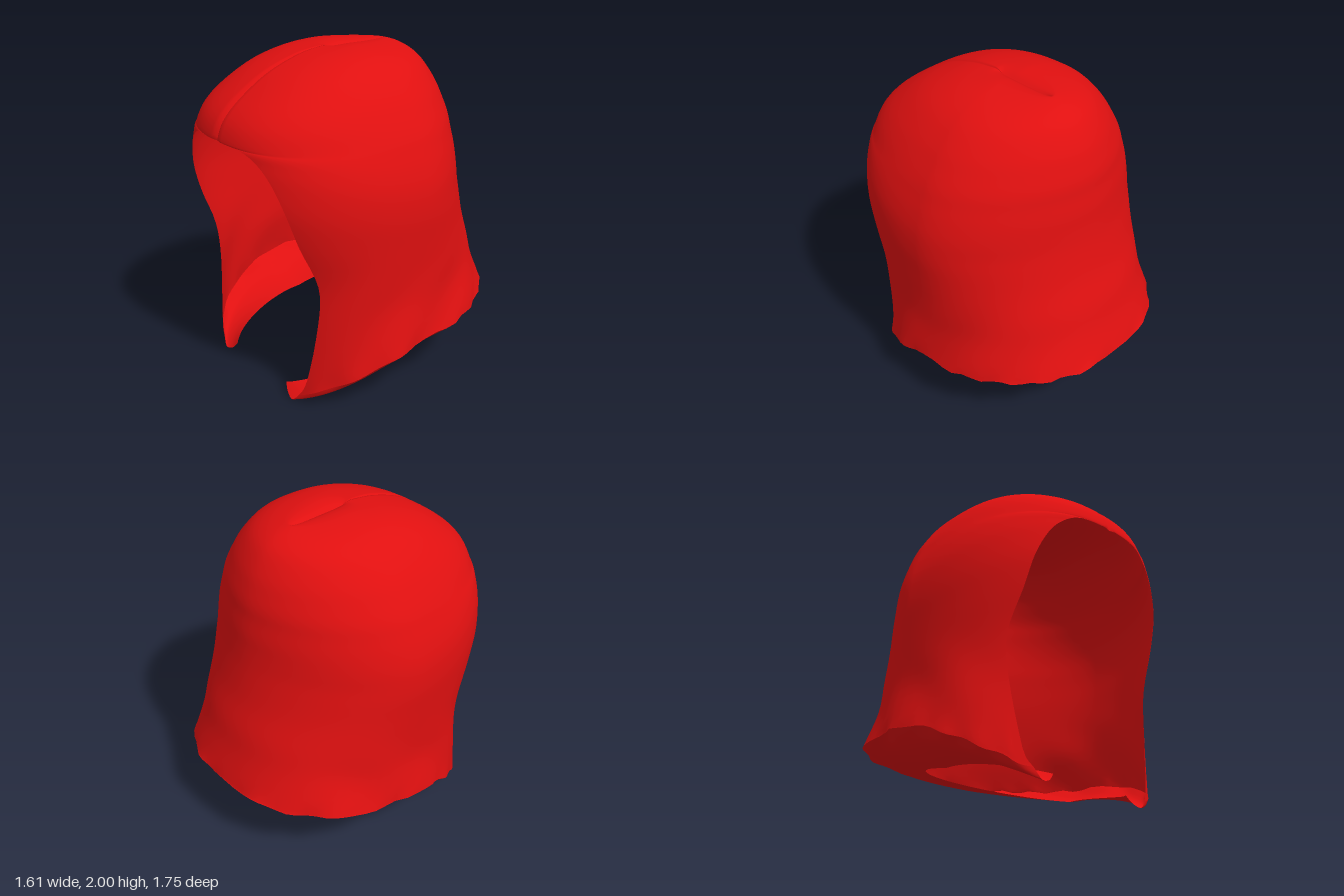
import * as THREE from 'three';

// Cross-sections from crown to hem:
// front y, front half-gap, front z | side y, half-width | back y, back z
const crownAndSides = [
  [1.975, 0, 0.10, 1.970, 0, 1.968, -0.27],
  [1.988, 0, 0.13, 1.994, 0.05, 1.982, -0.285],
  [1.990, 0, 0.18, 2.0, 0.15, 1.982, -0.31],
  [1.965, 0, 0.34, 1.965, 0.31, 1.95, -0.40],
  [1.89, 0, 0.55, 1.89, 0.45, 1.89, -0.48],
  [1.77, 0, 0.74, 1.78, 0.56, 1.78, -0.55],
  [1.67, 0, 0.84, 1.68, 0.63, 1.68, -0.588],
  [1.57, 0, 0.88, 1.59, 0.682, 1.60, -0.61],
  [1.555, 0.22, 0.86, 1.51, 0.715, 1.52, -0.62],
  [1.50, 0.34, 0.83, 1.41, 0.75, 1.42, -0.635],
  [1.40, 0.43, 0.80, 1.29, 0.777, 1.31, -0.645],
  [1.24, 0.50, 0.76, 1.14, 0.785, 1.17, -0.665],
  [1.05, 0.53, 0.70, 0.97, 0.775, 0.99, -0.705],
  [0.80, 0.56, 0.60, 0.78, 0.765, 0.82, -0.76],
  [0.55, 0.54, 0.59, 0.60, 0.765, 0.66, -0.80],
  [0.17, 0.48, 0.63, 0.40, 0.795, 0.485, -0.858],
  [0.06, 0.43, 0.655, 0.37, 0.80, 0.46, -0.868],
];

// Turned-in hem, from the outer fold to the neck opening
const hemRows = [
  crownAndSides[crownAndSides.length - 1],
  [0.005, 0.38, 0.67, 0.29, 0.71, 0.405, -0.76],
  [0.02, 0.32, 0.66, 0.235, 0.60, 0.365, -0.63],
  [0.065, 0.28, 0.645, 0.205, 0.49, 0.345, -0.51],
];

const FRONT = 24, BACK = 20, STEPS = 4, SIDE_Z = 0.01, FOLD_Y = 0.37;

// Smoothly subdivide the list of cross-sections
function refine(rows) {
  const cr = (a, b, c, d, t) => 0.5 * (2 * b + (c - a) * t + (2 * a - 5 * b + 4 * c - d) * t * t
    + (3 * b - a - 3 * c + d) * t * t * t);
  const out = [];
  for (let i = 0; i < rows.length - 1; i++) {
    const [a, b, c, d] = [i - 1, i, i + 1, i + 2].map(k => rows[Math.min(Math.max(k, 0), rows.length - 1)]);
    for (let s = 0; s < STEPS; s++) {
      out.push(b.map((v, k) => (k === 1 && c[1] === 0 ? 0 : cr(a[k], v, c[k], d[k], s / STEPS))));
    }
  }
  out.push(rows[rows.length - 1]);
  return out;
}

// Half of a section, from the front edge round the side to the back centre
function halfSection([yf, xf, zf, ys, a, yb, zb]) {
  const p = 0.82, pts = [];
  // the back is round at the crown and neck, squarer at the outer fold
  const q = 0.85 + (ys > FOLD_Y ? Math.min(0.25, 0.3 * (ys - FOLD_Y)) : 0.9 * (FOLD_Y - ys));
  const gap = Math.max(xf, 0);
  const start = a > 0.001 ? Math.asin(Math.min(1, Math.pow(gap / a, 1 / p))) : 0;
  const startCos = Math.pow(Math.cos(start), p);
  for (let j = 0; j < FRONT; j++) {
    const f = start + (Math.PI / 2 - start) * Math.pow(j / FRONT, 1.4);
    const c = Math.pow(Math.cos(f), p) / startCos;
    pts.push([a * Math.pow(Math.sin(f), p), ys + (yf - ys) * Math.pow(c, 1.5), SIDE_Z + (zf - SIDE_Z) * c]);
  }
  for (let j = 0; j <= BACK; j++) {
    const f = (j / BACK) * Math.PI / 2;
    const s = Math.pow(Math.sin(f), q);
    const x = j === BACK ? 0 : a * Math.pow(Math.cos(f), q);
    pts.push([x, ys + (yb - ys) * s, SIDE_Z + (zb - SIDE_Z) * s]);
  }
  // pressed-in centre seam
  if (gap < 0.001) { pts[0][1] -= 0.01; pts[0][2] -= 0.01; }
  return pts;
}

// Soft cloth folds low on the sides and an uneven fold at the hem
function rumple([x, y, z], sectionSideY) {
  const low = THREE.MathUtils.smoothstep(0.95 - sectionSideY, 0, 0.5);
  const side = Math.min(1, Math.abs(x) / 0.7) ** 3;
  const edge = Math.max(0, 1 - Math.abs(sectionSideY - FOLD_Y) / 0.06);
  const wave = 0.010 * low * side * Math.sin(13 * z + 9 * y + 2 * Math.sign(x))
    + 0.006 * edge * (Math.sin(31 * z + 11 * x) + Math.sin(23 * x - 17 * z));
  const k = 1 + wave;
  return [x * k, y + edge * 0.008 * Math.sin(27 * x + 19 * z), z > 0.6 ? z : z * k];
}

// Loft a mirrored strip of sections into one smooth sheet
function loft(rows) {
  const pos = [], idx = [];
  const sections = refine(rows).map(r => {
    const half = halfSection(r);
    const full = [...half, ...half.slice(0, -1).reverse().map(([x, y, z]) => [-x, y, z])];
    return full.map(pt => rumple(pt, r[3]));
  });
  const n = sections[0].length;
  sections.forEach((sec, i) => sec.forEach((pt, j) => {
    pos.push(...pt);
    if (i < sections.length - 1 && j < n - 1) {
      const a = i * n + j, b = a + n;
      idx.push(a, b, a + 1, b, b + 1, a + 1);
    }
  }));
  const g = new THREE.BufferGeometry();
  g.setAttribute('position', new THREE.Float32BufferAttribute(pos, 3));
  g.setIndex(idx);
  g.computeVertexNormals();
  return g;
}

export function createModel() {
  const red = new THREE.MeshStandardMaterial({ color: 0xe01010, side: THREE.DoubleSide });
  red.name = 'red cloth';
  const group = new THREE.Group();
  group.name = 'hood';
  const add = (name, rows) => {
    const mesh = new THREE.Mesh(loft(rows), red);
    mesh.name = name;
    group.add(mesh);
  };
  add('hoodShell', crownAndSides);
  add('neckHem', hemRows);
  return group;
}
